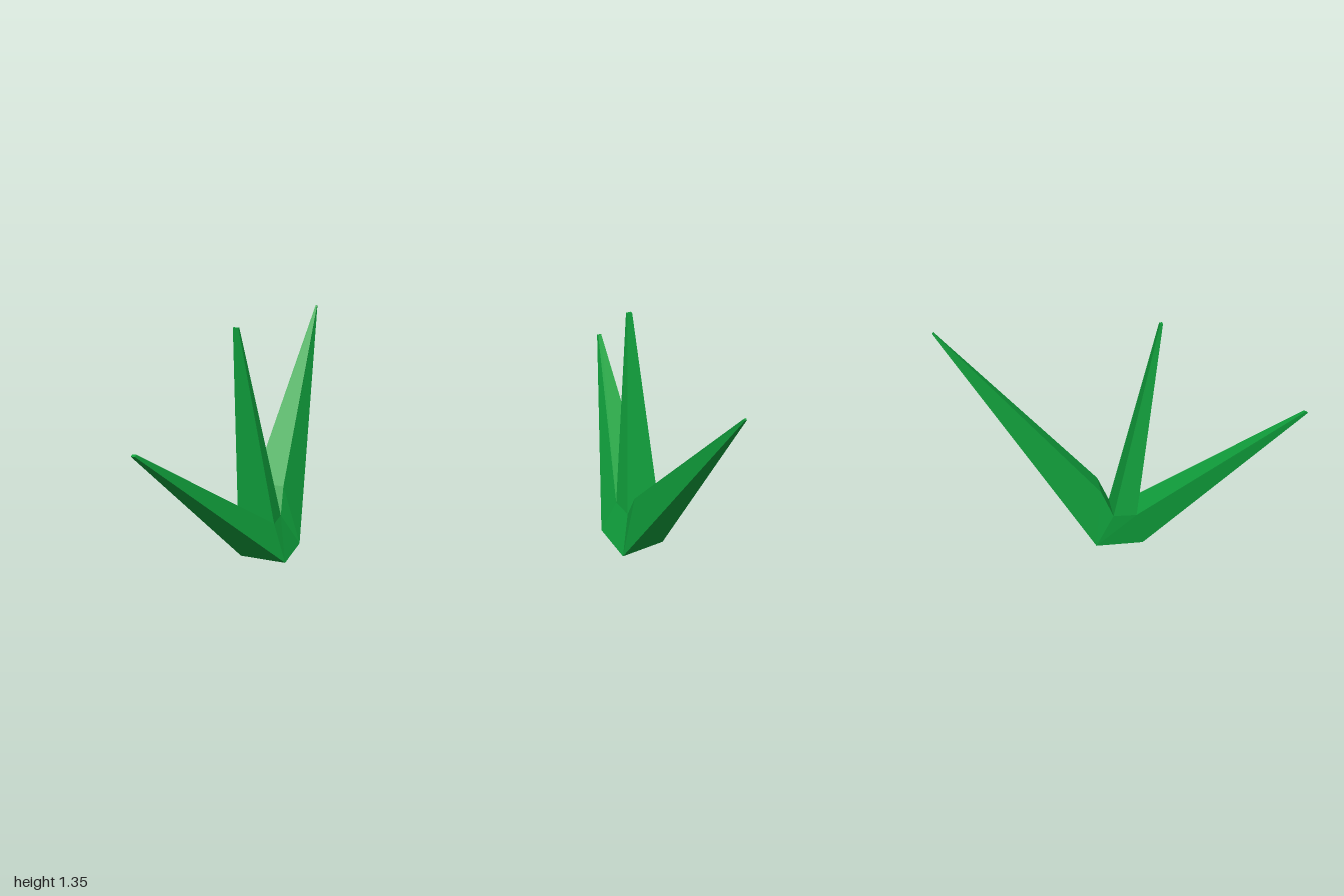
import * as THREE from 'three';

// Flat-shaded mesh from a list of four-cornered faces
function facetedMesh(name, quads, material) {
  const points = [];
  const area = new THREE.Triangle();
  for (const [a, b, c, d] of quads) {
    for (const tri of [[a, b, c], [a, c, d]]) {
      area.set(...tri.map((p) => new THREE.Vector3(...p)));
      if (area.getArea() > 1e-7) points.push(...tri.flat());
    }
  }
  const geometry = new THREE.BufferGeometry();
  geometry.setAttribute('position', new THREE.Float32BufferAttribute(points, 3));
  geometry.computeVertexNormals();
  const mesh = new THREE.Mesh(geometry, material);
  mesh.name = name;
  return mesh;
}

// Walls through four-cornered sections, closed at the tip
function bladeFaces(sections) {
  const quads = [];
  for (let s = 0; s < sections.length - 1; s++) {
    const a = sections[s], b = sections[s + 1];
    for (let i = 0; i < 4; i++) {
      const j = (i + 1) % 4;
      quads.push([a[i], a[j], b[j], b[i]]);
    }
  }
  quads.push(sections[sections.length - 1]);
  return quads;
}

export function createModel() {
  const group = new THREE.Group();
  group.name = 'grassTuft';
  const green = new THREE.MeshStandardMaterial({ color: 0x10a03c, flatShading: true });
  green.name = 'leafGreen';

  // Corners of the root block: front/back, left (+x)/right (-x)
  const lowFR = [-0.04, 0, 0.12], lowFL = [0.23, 0, 0.12];
  const lowBR = [-0.04, 0, -0.16], lowBL = [0.23, 0, -0.16];
  const topFR = [-0.075, 0.21, 0.075], topFL = [0.147, 0.21, 0.075];
  const topBR = [-0.068, 0.21, -0.06], topBL = [0.142, 0.21, -0.06];

  // Root: underside and the two sides between the blades
  group.add(facetedMesh('root', [
    [lowFR, lowBR, lowBL, lowFL],
    [lowFL, lowBL, topBL, topFL],
    [lowBR, lowFR, topFR, topBR],
  ], green));

  // Low blade leaning forward
  group.add(facetedMesh('frontBlade', bladeFaces([
    [lowFR, lowFL, topFL, topFR],
    [[-0.232, 0.862, 1], [-0.21, 0.862, 1], [-0.21, 0.868, 0.983], [-0.232, 0.868, 0.983]],
  ]), green));

  // Upright blade
  group.add(facetedMesh('middleBlade', bladeFaces([
    [topFR, topFL, topBL, topBR],
    [[-0.041, 1.345, 0.215], [-0.011, 1.345, 0.215], [-0.011, 1.345, 0.2], [-0.041, 1.345, 0.2]],
  ]), green));

  // Long blade leaning back, with a kink on its upper edge
  group.add(facetedMesh('backBlade', bladeFaces([
    [lowBL, lowBR, topBR, topBL],
    [lowBL, lowBR, [-0.052, 0.365, -0.13], [0.133, 0.365, -0.13]],
    [[0.07, 1.313, -1], [0.06, 1.313, -1], [0.06, 1.32, -0.993], [0.07, 1.32, -0.993]],
  ]), green));

  return group;
}
